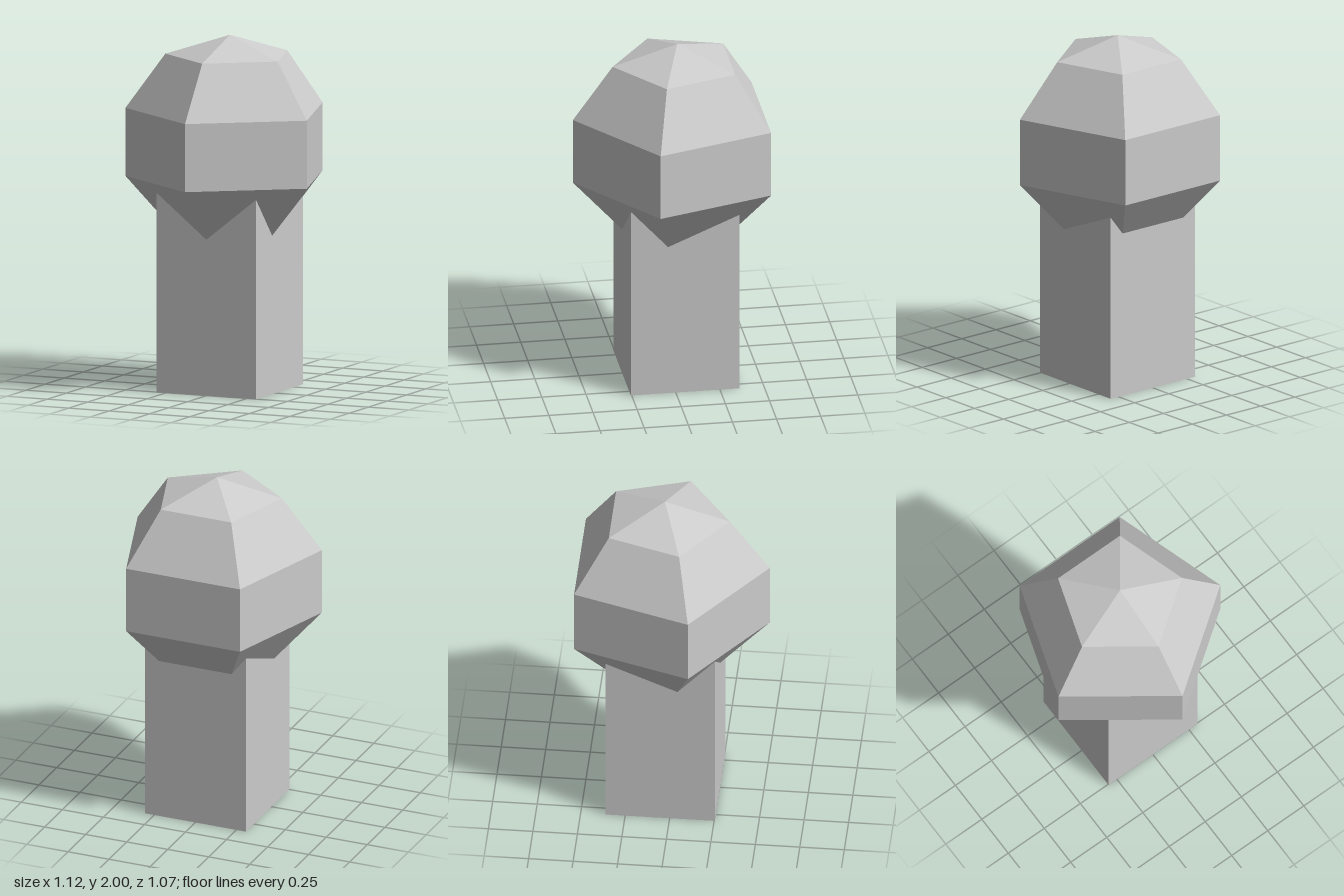
import * as THREE from 'three';

export function createModel() {
  const group = new THREE.Group();
  const material = new THREE.MeshStandardMaterial({
    color: 0xcccccc, flatShading: true, side: THREE.DoubleSide,
  });
  const centreZ = -0.056;

  // Trunk: square tube, open at the bottom, its top hidden in the crown
  const width = 0.615, height = 1.15;
  const trunkGeometry = new THREE.CylinderGeometry(
    width / Math.SQRT2, width / Math.SQRT2, height, 4, 1, true);
  trunkGeometry.rotateY(Math.PI / 4);
  const trunk = new THREE.Mesh(trunkGeometry, material);
  trunk.name = 'trunk';
  trunk.position.set(0, height / 2, centreZ + 0.003);
  group.add(trunk);

  // Crown: five-sided faceted bulb with one corner facing the front
  const profile = [
    [0, 0.76], [0.308, 0.88], [0.59, 1.19], [0.59, 1.575], [0.365, 1.886], [0, 2],
  ].map(([r, y]) => new THREE.Vector2(r, y));
  const crown = new THREE.Mesh(new THREE.LatheGeometry(profile, 5), material);
  crown.name = 'crown';
  crown.position.z = centreZ;
  group.add(crown);

  return group;
}
